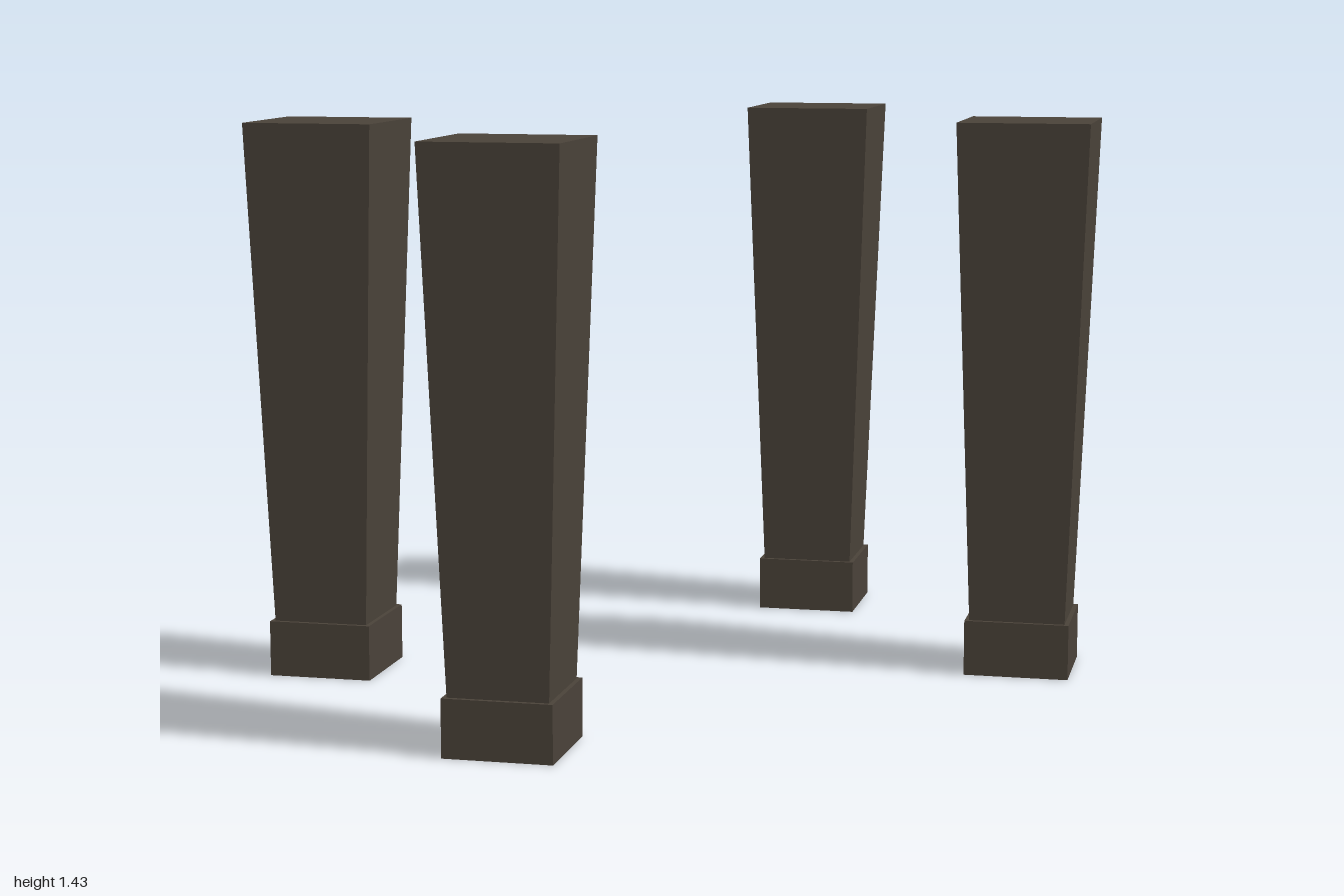
import * as THREE from 'three';

const HEIGHT = 1.43;
const FOOT_HEIGHT = 0.143;

export function createModel() {
  const group = new THREE.Group();
  group.name = 'tableLegs';

  const darkWood = new THREE.MeshStandardMaterial({ color: 0x4a4239 });
  darkWood.name = 'dark wood';
  darkWood.flatShading = true;

  // Square posts, corners pointing along x and z; the shaft starts inside the foot
  const shaftBase = 0.1;
  const shaftGeometry = new THREE.CylinderGeometry(0.238, 0.172, HEIGHT - shaftBase, 4);
  shaftGeometry.translate(0, (HEIGHT + shaftBase) / 2, 0);
  const footGeometry = new THREE.CylinderGeometry(0.19, 0.19, FOOT_HEIGHT, 4);
  footGeometry.translate(0, FOOT_HEIGHT / 2, 0);

  // Four matching legs
  for (const [z, row] of [[0.476, 'front'], [-0.476, 'back']]) {
    for (const [x, side] of [[0.762, 'Left'], [-0.762, 'Right']]) {
      const leg = new THREE.Group();
      leg.name = `${row}${side}Leg`;
      leg.position.set(x, 0, z);

      const shaft = new THREE.Mesh(shaftGeometry, darkWood);
      shaft.name = 'taperedShaft';
      const foot = new THREE.Mesh(footGeometry, darkWood);
      foot.name = 'foot';

      leg.add(shaft, foot);
      group.add(leg);
    }
  }
  return group;
}
